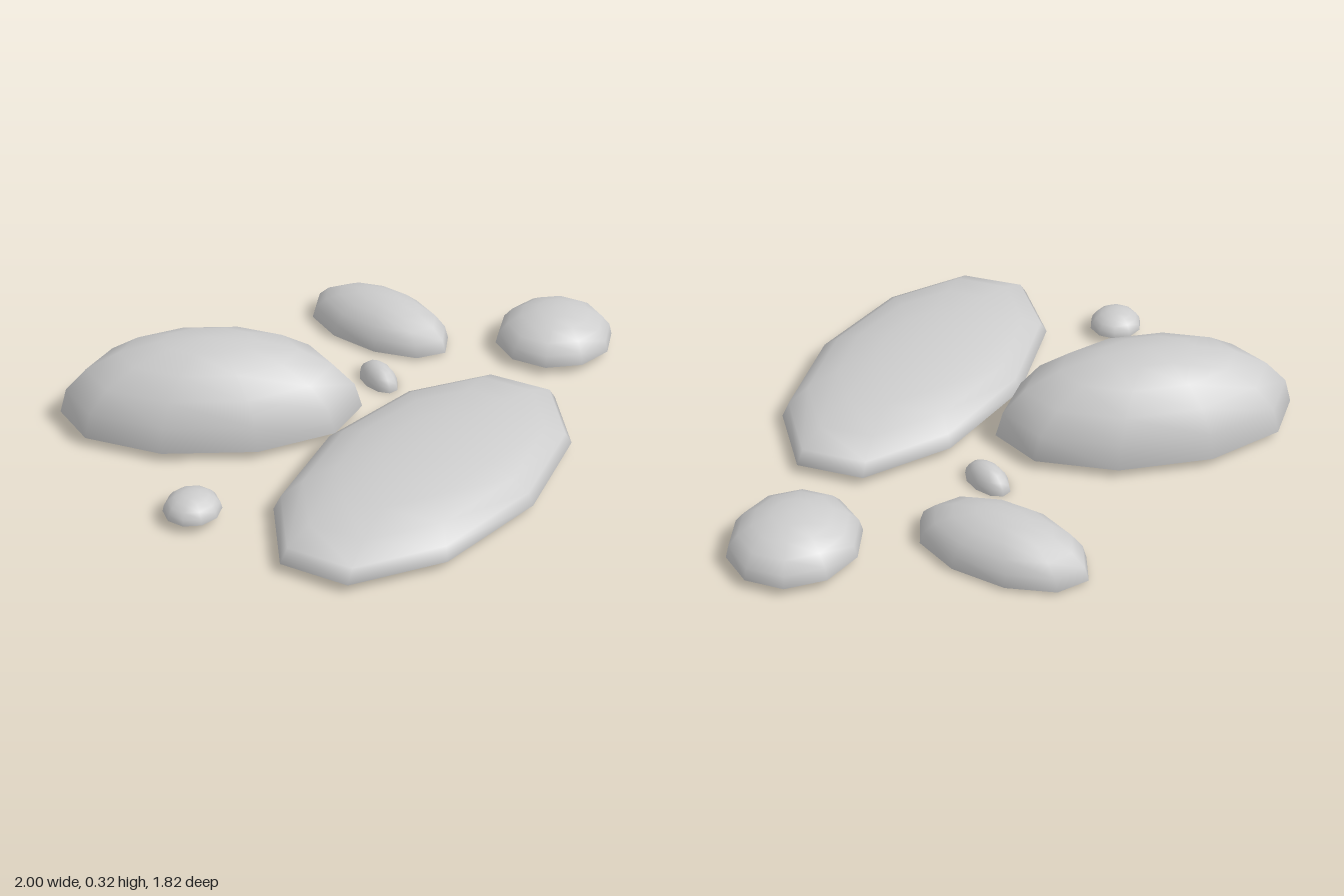
import * as THREE from 'three';

const material = new THREE.MeshStandardMaterial({ color: 0xcccccc, side: THREE.DoubleSide });

// Open half-sphere stretched along two ground axes a and b (each [x, z]) and raised to a height
function dome(name, [x, base, z], a, b, height) {
  const geometry = new THREE.SphereGeometry(1, 10, 5, 0, Math.PI * 2, 0, Math.PI / 2);
  geometry.applyMatrix4(new THREE.Matrix4().makeBasis(
    new THREE.Vector3(a[0], 0, a[1]),
    new THREE.Vector3(0, height, 0),
    new THREE.Vector3(b[0], 0, b[1])
  ));
  const mesh = new THREE.Mesh(geometry, material);
  mesh.name = name;
  mesh.position.set(x, base, z);
  return mesh;
}

export function createModel() {
  const group = new THREE.Group();
  group.name = 'stones';
  group.add(
    // Large stones
    dome('tallStone', [-0.475, 0.03, -0.1], [0.525, 0], [0, 0.289], 0.29),
    dome('broadFlatStone', [0.245, 0.03, 0.328], [0.28, -0.578], [0.44, 0.006], 0.142),
    // Medium stones
    dome('backStone', [0.14, 0.01, -0.678], [-0.125, -0.232], [0.223, 0.014], 0.145),
    dome('roundStone', [0.779, 0.03, -0.542], [0.057, -0.212], [0.212, 0.042], 0.133),
    // Pebbles
    dome('frontPebble', [-0.52, 0.03, 0.495], [0.027, -0.093], [0.092, 0.024], 0.067),
    dome('middlePebble', [0.118, 0, -0.312], [-0.036, -0.087], [0.059, -0.008], 0.072)
  );
  return group;
}
